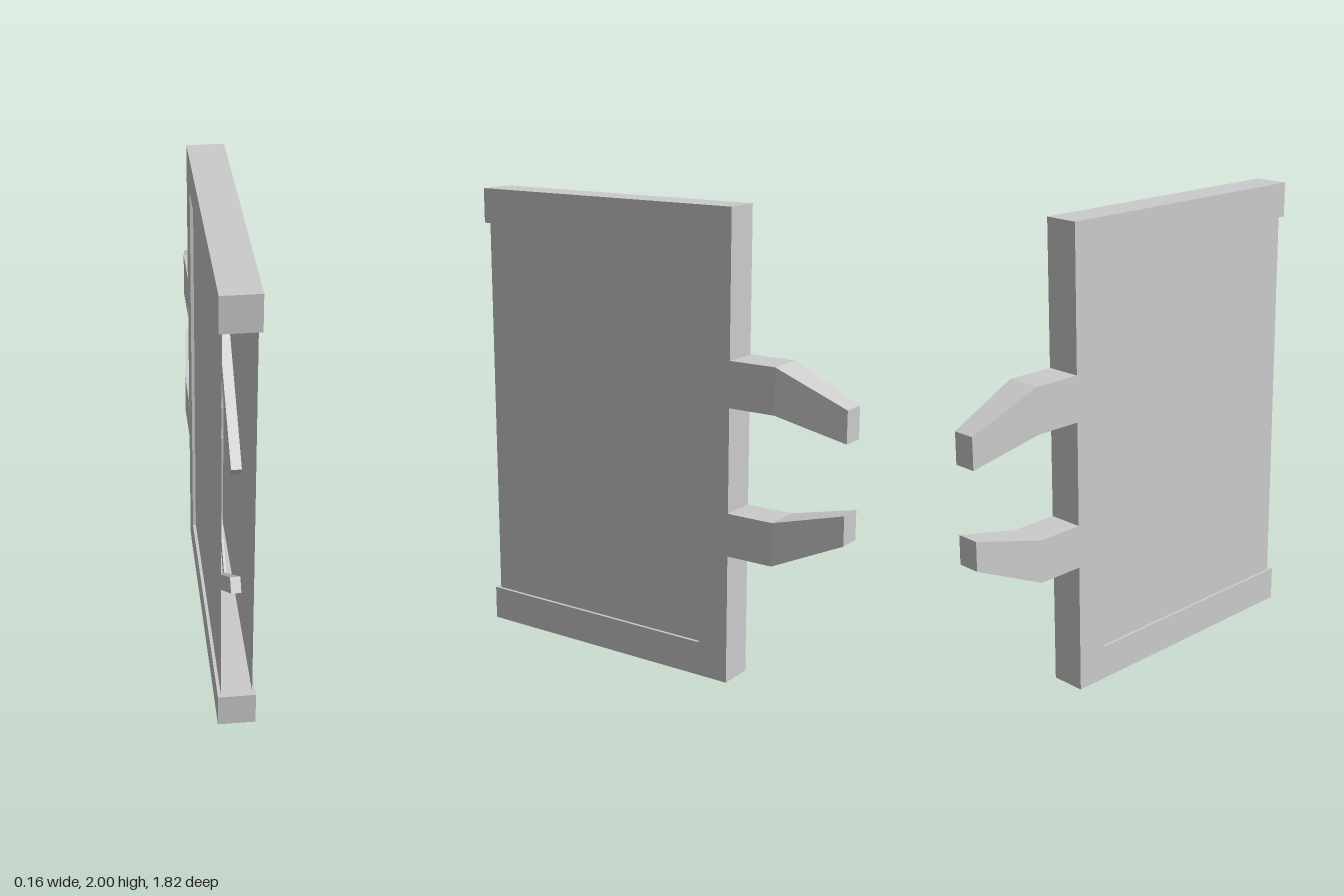
import * as THREE from 'three';

const material = new THREE.MeshStandardMaterial({ color: 0xcccccc, flatShading: true });
const thin = new THREE.MeshStandardMaterial({ color: 0xcccccc, flatShading: true, side: THREE.DoubleSide });

// Extrudes a [z, y] outline across x, centred on xMid.
function sidePlate(name, points, width, xMid = 0) {
  const shape = new THREE.Shape(points.map(([z, y]) => new THREE.Vector2(z, y)));
  const geo = new THREE.ExtrudeGeometry(shape, { depth: width, bevelEnabled: false });
  geo.translate(0, 0, -width / 2);
  geo.rotateY(-Math.PI / 2);
  geo.translate(xMid, 0, 0);
  const mesh = new THREE.Mesh(geo, material);
  mesh.name = name;
  return mesh;
}

// Lofts a box through sections { z, half width, bottom, top }, listed from back to front.
function claw(name, sections) {
  const geo = new THREE.BoxGeometry(1, 1, 1, 1, 1, sections.length - 1);
  const pos = geo.attributes.position;
  for (let i = 0; i < pos.count; i++) {
    const s = sections[Math.round((pos.getZ(i) + 0.5) * (sections.length - 1))];
    pos.setXYZ(i, Math.sign(pos.getX(i)) * s.w, pos.getY(i) > 0 ? s.top : s.bottom, s.z);
  }
  const flat = geo.toNonIndexed();
  flat.computeVertexNormals();
  const mesh = new THREE.Mesh(flat, material);
  mesh.name = name;
  return mesh;
}

// Straight bar from one [z, y] point to another; its top edge (or bottom, if thick < 0) runs along them.
function bar(name, [z0, y0], [z1, y1], thick, width, xMid) {
  const len = Math.hypot(z1 - z0, y1 - y0);
  const nz = ((y1 - y0) / len) * thick, ny = (-(z1 - z0) / len) * thick;
  return sidePlate(name, [[z0, y0], [z1, y1], [z1 + nz, y1 + ny], [z0 + nz, y0 + ny]], width, xMid);
}

export function createModel() {
  const model = new THREE.Group();
  model.name = 'clawedPanel';

  // C-shaped frame, open at the front
  model.add(sidePlate('frame', [
    [0.89, 0], [0.89, 0.15], [-0.25, 0.15], [-0.25, 1.85],
    [0.89, 1.85], [0.89, 2], [-0.39, 2], [-0.39, 0],
  ], 0.155));

  // Thin side panels enclosing the hollow inside
  for (const side of [-1, 1]) {
    const panel = new THREE.Mesh(new THREE.PlaneGeometry(1.12, 1.7), thin);
    panel.name = side > 0 ? 'leftPanel' : 'rightPanel';
    panel.rotation.y = side * Math.PI / 2;
    panel.position.set(side * 0.064, 1, 0.31);
    model.add(panel);
  }

  // Tapered rear claws
  model.add(claw('upperClaw', [
    { z: -0.91, w: 0.05, bottom: 1.12, top: 1.255 },
    { z: -0.6, w: 0.078, bottom: 1.195, top: 1.39 },
    { z: -0.385, w: 0.078, bottom: 1.195, top: 1.39 },
  ]));
  model.add(claw('lowerClaw', [
    { z: -0.91, w: 0.05, bottom: 0.705, top: 0.83 },
    { z: -0.6, w: 0.078, bottom: 0.565, top: 0.75 },
    { z: -0.385, w: 0.078, bottom: 0.565, top: 0.75 },
  ]));

  // Inner linkage: slanted arms, rear links and a central notched catch
  model.add(bar('upperArm', [0.88, 1.27], [0.27, 1.76], -0.063, 0.04, -0.01));
  model.add(bar('lowerArm', [0.91, 0.71], [0.3, 0.23], 0.063, 0.04, -0.01));
  model.add(bar('upperLink', [0.34, 1.73], [0.04, 1.46], 0.06, 0.01, 0.016));
  model.add(bar('lowerLink', [0.34, 0.25], [0.04, 0.52], -0.06, 0.01, 0.016));
  model.add(sidePlate('centralCatch', [
    [0, 0.83], [0.12, 0.89], [0.04, 0.96], [0.12, 1.04], [0, 1.09],
  ], 0.04));

  return model;
}
